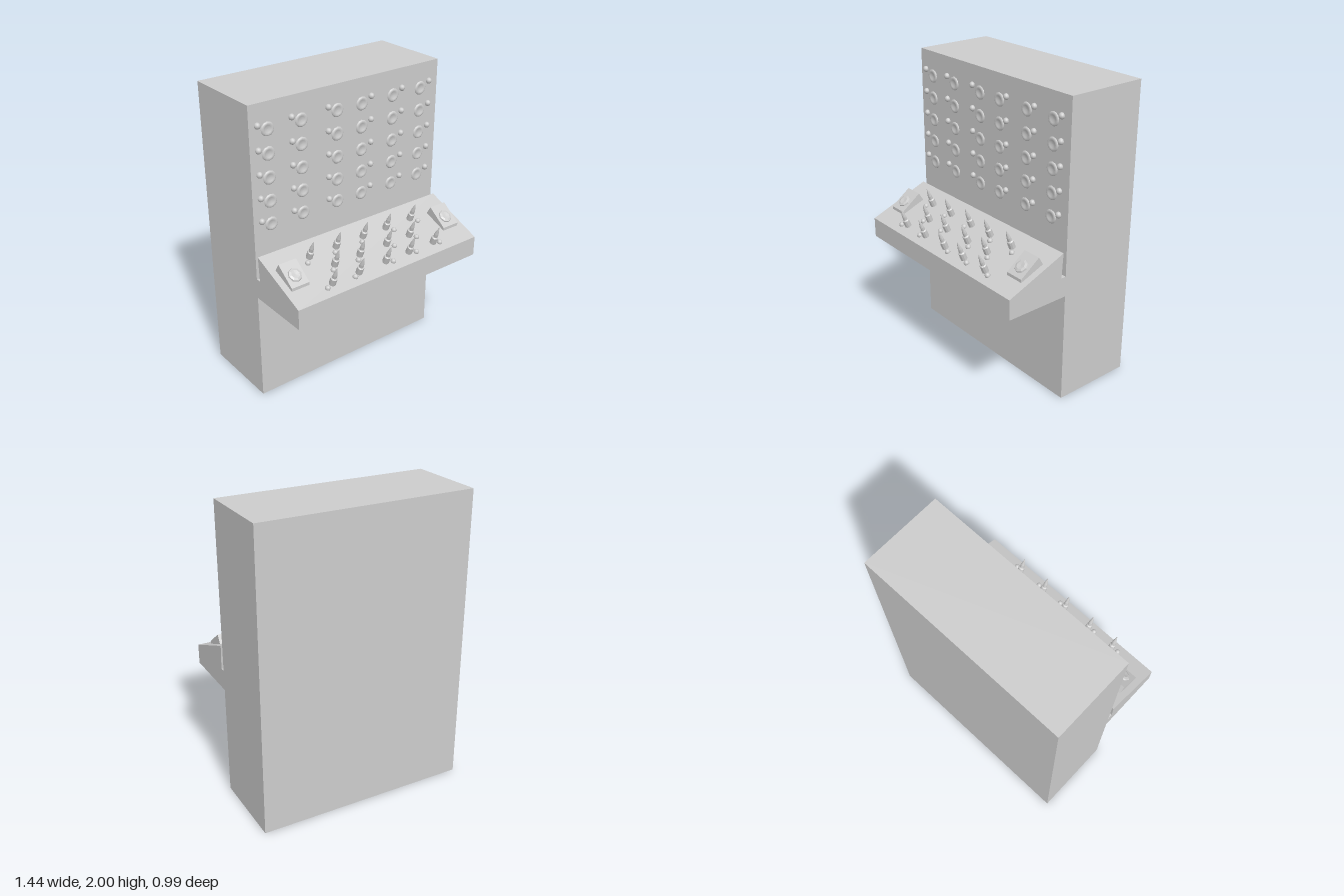
import * as THREE from 'three';

const WIDTH = 1.44;
const SLOPE = Math.atan2(0.165, 0.415);
const panelY = z => 0.885 + (0.495 - z) * Math.tan(SLOPE);

// Extrude a [z, y] side profile across x, centred on x = 0
function extrudeSide(points, width) {
  const shape = new THREE.Shape(points.map(([z, y]) => new THREE.Vector2(z, y)));
  const g = new THREE.ExtrudeGeometry(shape, { depth: width, bevelEnabled: false });
  return g.translate(0, 0, -width / 2).rotateY(-Math.PI / 2);
}

// Drop the triangles lying on the floor, leaving the shell open below
function openBottom(geometry) {
  const p = geometry.attributes.position;
  const kept = [];
  for (let i = 0; i < p.count; i += 3) {
    if (Math.max(p.getY(i), p.getY(i + 1), p.getY(i + 2)) < 1e-4) continue;
    for (let j = i; j < i + 3; j++) kept.push(p.getX(j), p.getY(j), p.getZ(j));
  }
  const g = new THREE.BufferGeometry();
  g.setAttribute('position', new THREE.Float32BufferAttribute(kept, 3));
  g.computeVertexNormals();
  return g;
}

const lathe = (points, sides) =>
  new THREE.LatheGeometry(points.map(([r, y]) => new THREE.Vector2(r, y)), sides);

export function createModel() {
  const model = new THREE.Group();
  const grey = new THREE.MeshStandardMaterial({ color: 0xcccccc });
  const greyDouble = new THREE.MeshStandardMaterial({ color: 0xcccccc, side: THREE.DoubleSide });
  const flat = new THREE.MeshStandardMaterial({ color: 0xcccccc, flatShading: true });

  function add(name, geometry, material, x = 0, y = 0, z = 0, tilt = 0) {
    const mesh = new THREE.Mesh(geometry, material);
    mesh.name = name;
    mesh.position.set(x, y, z);
    mesh.rotation.x = tilt;
    model.add(mesh);
    return mesh;
  }

  // Tall cabinet with its shelf, one open-bottomed shell
  add('cabinet', openBottom(extrudeSide([
    [-0.495, 0], [0.055, 0], [0.055, 0.75], [0.495, 0.75],
    [0.495, 0.885], [0.055, 0.885], [0.055, 2], [-0.495, 2],
  ], WIDTH)), greyDouble);

  // Sloping control panel
  add('controlPanel', extrudeSide([[0.495, 0.885], [0.08, 1.05], [0.09, 0.885]], WIDTH), grey);

  // Wall dials, each with an indicator lamp on its outer upper side
  const dialGeo = lathe([[0.045, 0], [0.042, 0.006], [0.034, 0.009], [0.024, 0.007], [0.016, 0.002], [0, 0.001]], 12);
  const lampGeo = new THREE.SphereGeometry(0.02, 10, 8);
  const dialX = [-0.595, -0.36, -0.095, 0.095, 0.345, 0.575];
  const lampX = [-0.665, -0.43, -0.165, 0.165, 0.415, 0.645];
  for (let row = 0; row < 5; row++) {
    for (let col = 0; col < 6; col++) {
      add('wallDial', dialGeo, grey, dialX[col], 1.835 - row * 0.151, 0.055, Math.PI / 2);
      add('wallLamp', lampGeo, grey, lampX[col], 1.87 - row * 0.151, 0.06);
    }
  }

  // Pointed levers standing square to the panel, with lamps beside them
  const leverGeo = lathe([
    [0, 0], [0.022, 0], [0.022, 0.05], [0.014, 0.056], [0.014, 0.08], [0.008, 0.112], [0, 0.142],
  ], 10);
  const panelLampGeo = new THREE.SphereGeometry(0.018, 10, 8);
  const rows = [
    { z: 0.2, lampZ: 0.237, x: [-0.428, -0.222, -0.006, 0.185, 0.396], lamps: [-0.465, -0.255, -0.04, 0.225, 0.435] },
    { z: 0.31, lampZ: 0.342, x: [-0.318, -0.12, 0.098, 0.293], lamps: [-0.35, -0.155, 0.14, 0.33] },
    { z: 0.418, lampZ: 0.437, x: [-0.417, -0.212, 0.002, 0.196, 0.407], lamps: [-0.465, -0.255, 0.05, 0.245, 0.45] },
  ];
  for (const row of rows) {
    row.x.forEach((x, i) => {
      add('lever', leverGeo, flat, x, panelY(row.z), row.z, SLOPE);
      add('panelLamp', panelLampGeo, grey, row.lamps[i], panelY(row.lampZ) + 0.004, row.lampZ);
    });
  }

  // Angled button housings at both ends of the panel
  const housingGeo = extrudeSide([[0.37, 0.93], [0.37, 0.955], [0.235, 1.055], [0.2, 0.997]].reverse(), 0.127);
  const buttonGeo = lathe([[0.046, 0], [0.043, 0.009], [0.028, 0.014], [0, 0.011]], 8);
  const housingTilt = Math.atan2(0.1, 0.135);
  for (const side of [-1, 1]) {
    add('buttonHousing', housingGeo, grey, side * 0.613);
    add('pushButton', buttonGeo, flat, side * 0.613, 0.998, 0.312, housingTilt);
  }

  return model;
}
